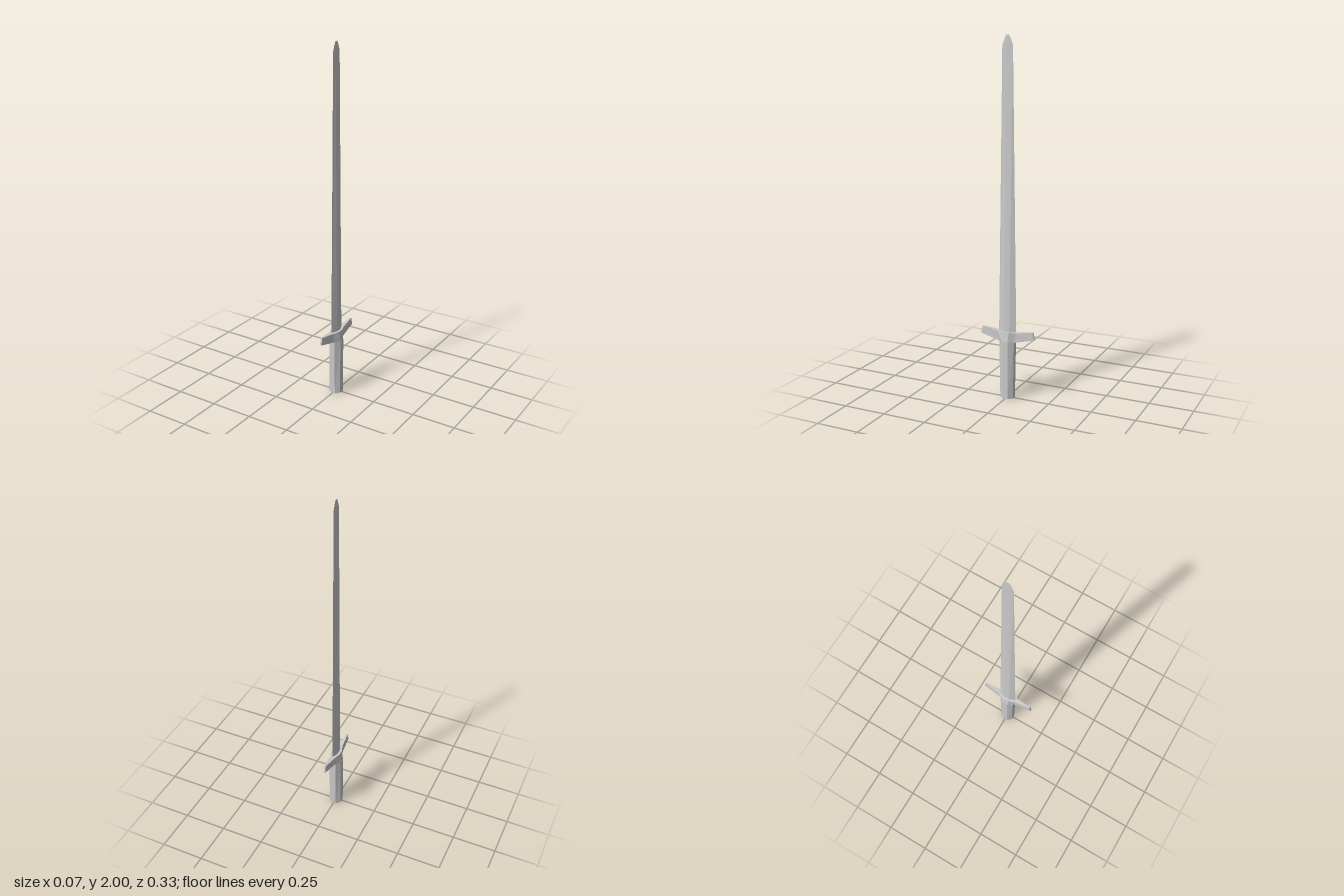
import * as THREE from 'three';

const material = new THREE.MeshStandardMaterial({ color: 0xcccccc, flatShading: true });

// Skin a list of equal-length convex rings and close both ends
function loft(name, rings) {
  const n = rings[0].length;
  const index = [];
  for (let r = 0; r < rings.length - 1; r++) {
    for (let i = 0; i < n; i++) {
      const a = r * n + i, b = r * n + (i + 1) % n;
      index.push(a, b, b + n, a, b + n, a + n);
    }
  }
  const last = (rings.length - 1) * n;
  for (let i = 1; i < n - 1; i++) {
    index.push(0, i + 1, i, last, last + i, last + i + 1);
  }
  const indexed = new THREE.BufferGeometry();
  indexed.setAttribute('position', new THREE.Float32BufferAttribute(rings.flat(2), 3));
  indexed.setIndex(index);
  const geometry = indexed.toNonIndexed();
  geometry.computeVertexNormals();
  const mesh = new THREE.Mesh(geometry, material);
  mesh.name = name;
  return mesh;
}

// Six-sided blade section: sharp edges at +-z, narrow flats at +-x
const bladeRing = ([y, edge, thick, flat]) => [
  [0, y, edge], [thick, y, flat], [thick, y, -flat],
  [0, y, -edge], [-thick, y, -flat], [-thick, y, flat],
];

// Eight-sided grip section
const gripRing = ([y, x, z]) => [
  [0.014, y, z], [x, y, 0.016], [x, y, -0.016], [0.014, y, -z],
  [-0.014, y, -z], [-x, y, -0.016], [-x, y, 0.016], [-0.014, y, z],
];

export function createModel() {
  const group = new THREE.Group();
  group.name = 'sword';

  // Blade, tapering in both width and thickness to a blunt tip
  group.add(loft('blade', [
    [0.36, 0.053, 0.015, 0.016],
    [1.95, 0.031, 0.0015, 0.01],
    [1.985, 0.017, 0.001, 0.006],
    [2.0, 0.008, 0.0005, 0.003],
  ].map(bladeRing)));

  // Grip
  group.add(loft('grip', [[0, 0.036, 0.039], [0.332, 0.036, 0.045]].map(gripRing)));

  // Crossguard: [z, y, half width] of the bottom, then of the top, from centre to arm end
  const half = [
    [0.016, 0.33, 0.036, 0.018, 0.387, 0.028],
    [0.045, 0.33, 0.014, 0.057, 0.387, 0.014],
    [0.163, 0.358, 0.005, 0.153, 0.4, 0.005],
  ];
  const back = half.map(([zb, yb, xb, zt, yt, xt]) => [-zb, yb, xb, -zt, yt, xt]).reverse();
  group.add(loft('crossguard', [...back, ...half].map(([zb, yb, xb, zt, yt, xt]) => [
    [-xb, yb, zb], [xb, yb, zb], [xt, yt, zt], [-xt, yt, zt],
  ])));

  return group;
}
